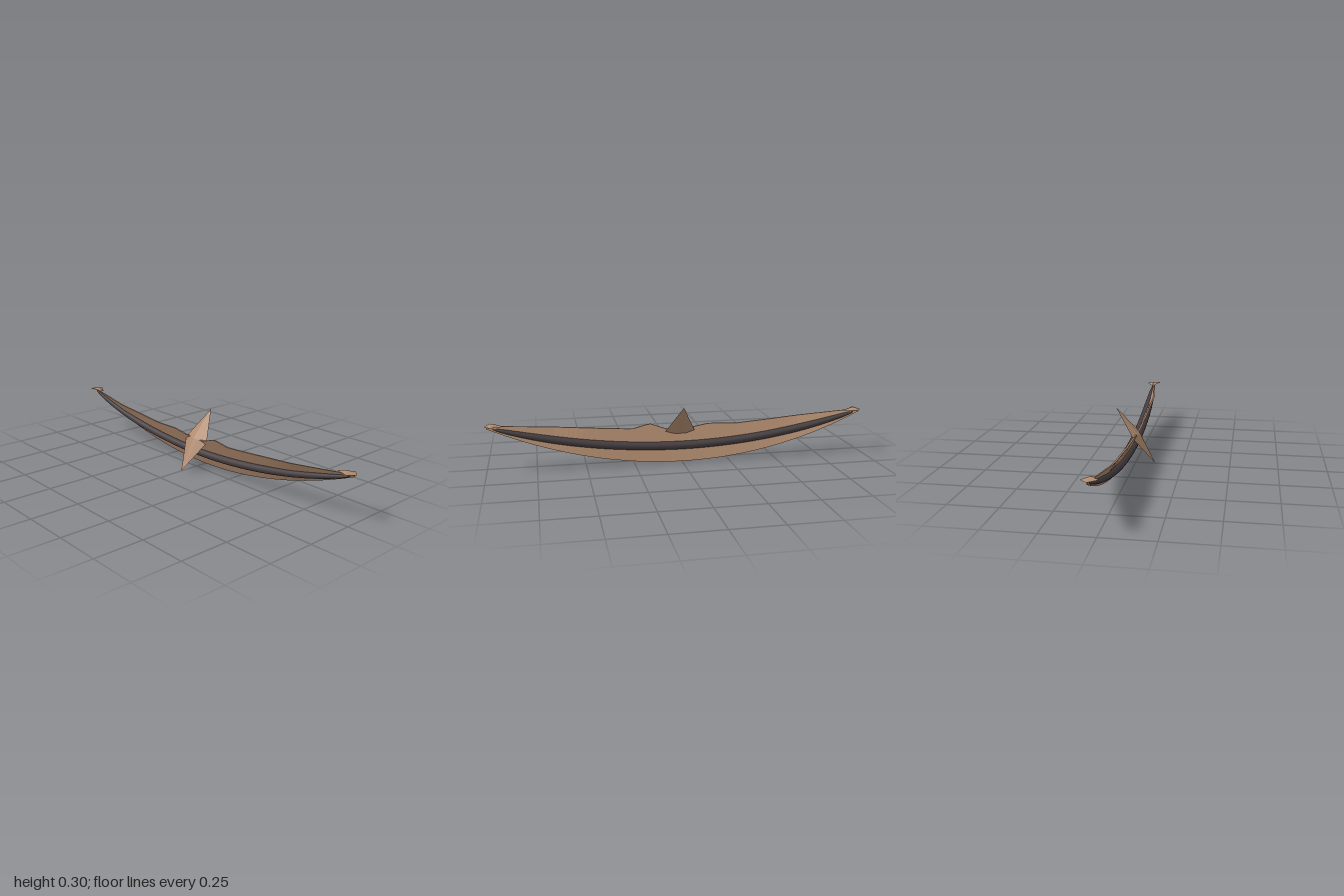
import * as THREE from 'three';

const brown = new THREE.MeshStandardMaterial({ color: 0xb08a6e, flatShading: true, side: THREE.DoubleSide });
const dark = new THREE.MeshStandardMaterial({ color: 0x453d3f });

function geometry(points, index) {
  const g = new THREE.BufferGeometry();
  g.setAttribute('position', new THREE.Float32BufferAttribute(points.flat(), 3));
  g.setIndex(index);
  g.computeVertexNormals();
  return g;
}

// Skin closed sections along x; section(x) lists [y, z] corners turning from +y to +z
function loft(xs, section) {
  const points = [], index = [];
  let n = 0;
  xs.forEach((x) => {
    const s = section(x);
    n = s.length;
    s.forEach(([y, z]) => points.push([x, y, z]));
  });
  for (let i = 0; i < xs.length - 1; i++) {
    for (let k = 0; k < n; k++) {
      const a = i * n + k, b = i * n + (k + 1) % n;
      index.push(a, b, a + n, b, b + n, a + n);
    }
  }
  return geometry(points, index);
}

// Faceted double pyramid: ring counterclockwise seen from the top apex
function bipyramid(ring, top, bottom) {
  const n = ring.length, index = [];
  for (let i = 0; i < n; i++) {
    const j = (i + 1) % n;
    index.push(n, i, j, n + 1, j, i);
  }
  return geometry([...ring, top, bottom], index);
}

// Stations closer together toward the ends
const stations = (half, count) =>
  Array.from({ length: count + 1 }, (_, i) => -half * Math.cos((Math.PI * i) / count));

const peak = (x, at, width) => Math.max(0, 1 - Math.abs(x - at) / width);

export function createModel() {
  const model = new THREE.Group();
  const add = (name, geo, mat) => {
    const mesh = new THREE.Mesh(geo, mat);
    mesh.name = name;
    model.add(mesh);
    return mesh;
  };

  // Thin crescent plate, leaning forward at the top, with small raised points by the centre
  add('crescentBlade', loft(stations(0.99, 100), (x) => {
    const a = Math.abs(x);
    const t = 0.004 * Math.sqrt(Math.max(0, 1 - a ** 4)) + 0.0005;
    const bump = peak(x, 0.16, 0.09) + 0.55 * peak(x, -0.16, 0.14);
    const topY = 0.163 + 0.077 * a ** 1.25 + 0.027 * bump;
    const topZ = 0.009 - 0.045 * a ** 4 + 0.012 * bump + 0.006 * peak(a, 0.65, 0.15);
    const lowY = 0.008 + 0.222 * a * a;
    const lowZ = -0.064 + 0.024 * a ** 3;
    return [[topY, topZ - t], [topY, topZ + t], [lowY, lowZ + t], [lowY, lowZ - t]];
  }), brown);

  // Dark oval bar running through the middle of the plate
  add('centralBar', loft(stations(0.97, 64), (x) => {
    const r = Math.sqrt(Math.max(0.002, 1 - (x / 0.97) ** 4));
    const y = 0.083 + 0.15 * x * x, z = -0.025 - 0.01 * x * x;
    return Array.from({ length: 20 }, (_, k) => {
      const a = (k / 20) * Math.PI * 2;
      return [y + 0.022 * r * Math.cos(a), z + 0.028 * r * Math.sin(a)];
    });
  }), dark);

  // Long faceted diamond, tilted back at the top
  const gem = add('centreDiamond', bipyramid(
    [[0.08, 0, 0], [0.03, 0, -0.012], [-0.03, 0, -0.012], [-0.08, 0, 0], [-0.03, 0, 0.02], [0, 0, 0.024], [0.03, 0, 0.02]],
    [0, 0.1835, 0], [0, -0.1835, 0]), brown);
  gem.position.set(0, 0.153, 0.001);
  gem.rotation.x = -0.615;

  // Flat arrow-shaped points at both ends
  for (const s of [1, -1]) {
    const ring = [[1, 0.236, -0.04], [0.97, 0.236, -0.073], [0.9, 0.232, -0.036], [0.975, 0.241, 0.008]]
      .map(([x, y, z]) => [x * s, y, z]);
    if (s < 0) ring.reverse();
    add(s > 0 ? 'leftEndPoint' : 'rightEndPoint',
      bipyramid(ring, [0.95 * s, 0.247, -0.034], [0.96 * s, 0.23, -0.036]), brown);
  }
  return model;
}
